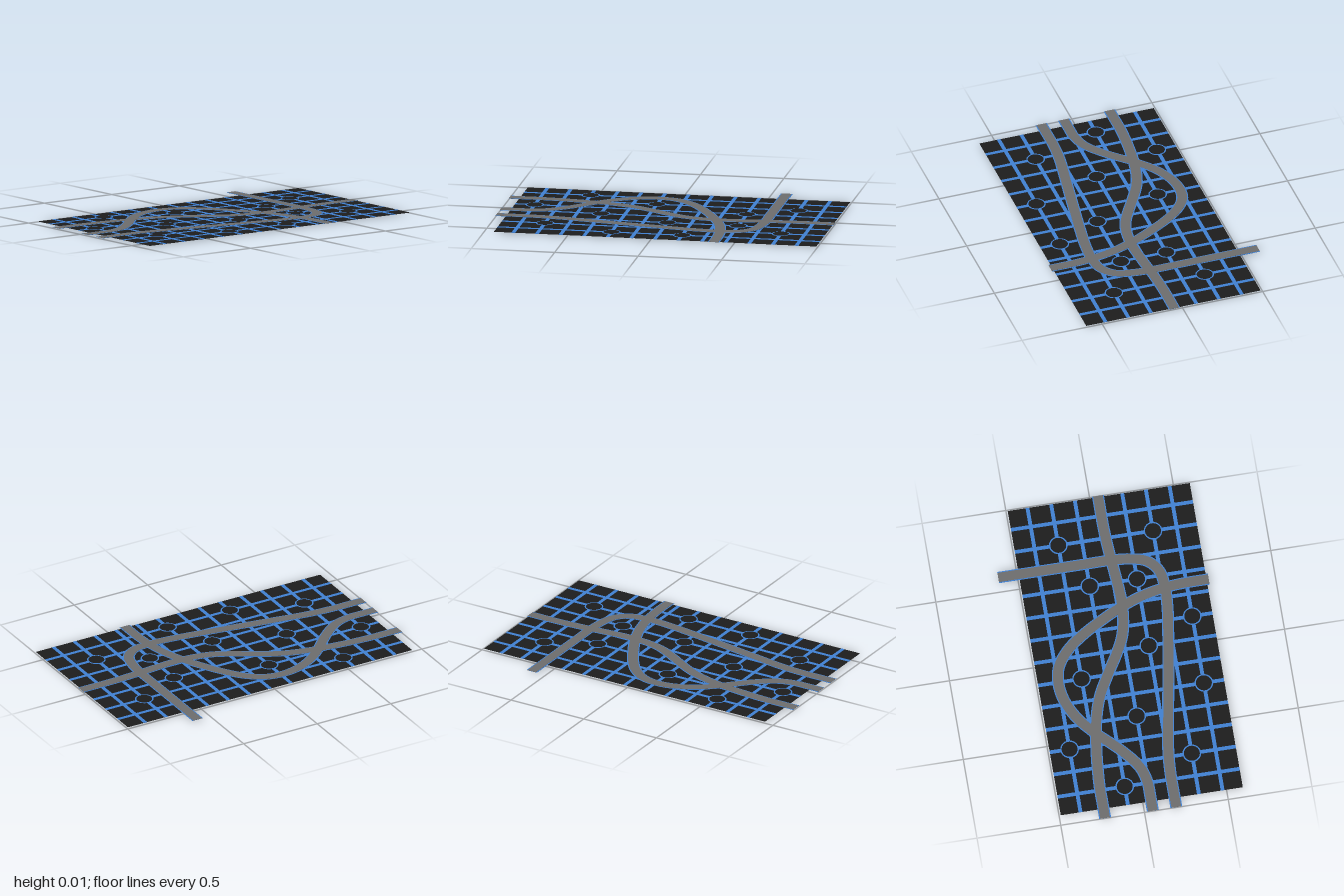
import * as THREE from 'three';
import { mergeGeometries } from 'three/addons/utils/BufferGeometryUtils.js';

const dark = new THREE.MeshStandardMaterial({ color: 0x1c1c1c, side: THREE.DoubleSide });
const blue = new THREE.MeshStandardMaterial({ color: 0x3f7fd0 });
const grey = new THREE.MeshStandardMaterial({ color: 0x6c6c6c });

// Board extents and street spacing
const X0 = -0.94, X1 = 0.993, Z0 = -0.49, Z1 = 0.597;
const STEP = 0.1414;
const gridX = (i) => -0.823 + i * STEP;
const gridZ = (j) => -0.372 + j * STEP;

// Box given by its plan centre, plan size and bottom/top heights
function slab(x, z, w, d, y0, y1) {
  return new THREE.BoxGeometry(w, y1 - y0, d).translate(x, (y0 + y1) / 2, z);
}

// Flat-topped disc between two heights
function disc(x, z, r, y0, y1) {
  return new THREE.CylinderGeometry(r, r, y1 - y0, 32).translate(x, (y0 + y1) / 2, z);
}

// Thin strip of constant width following a plan curve
function strip(points, width, y0, y1) {
  const curve = new THREE.CatmullRomCurve3(points.map(([x, z]) => new THREE.Vector3(x, 0, z)));
  const n = 100, pos = [], idx = [];
  for (let i = 0; i <= n; i++) {
    const p = curve.getPointAt(i / n), t = curve.getTangentAt(i / n);
    const ox = -t.z * width / 2, oz = t.x * width / 2;
    // cross-section corners: right top, left top, left bottom, right bottom
    pos.push(p.x + ox, y1, p.z + oz, p.x - ox, y1, p.z - oz,
      p.x - ox, y0, p.z - oz, p.x + ox, y0, p.z + oz);
    if (i === n) break;
    for (let k = 0; k < 4; k++) {
      const a = i * 4 + k, b = i * 4 + (k + 1) % 4;
      idx.push(a, a + 4, b, b, a + 4, b + 4);
    }
  }
  const e = n * 4;
  idx.push(0, 1, 2, 0, 2, 3, e, e + 2, e + 1, e, e + 3, e + 2);
  const g = new THREE.BufferGeometry();
  g.setAttribute('position', new THREE.Float32BufferAttribute(pos, 3));
  g.setIndex(idx);
  const flat = g.toNonIndexed();
  flat.computeVertexNormals();
  return flat;
}

export function createModel() {
  const model = new THREE.Group();
  const add = (name, geometry, material, parent = model) => {
    const mesh = new THREE.Mesh(geometry, material);
    mesh.name = name;
    parent.add(mesh);
  };

  // Ground sheet
  const cx = (X0 + X1) / 2, cz = (Z0 + Z1) / 2;
  add('ground', new THREE.PlaneGeometry(X1 - X0, Z1 - Z0)
    .rotateX(-Math.PI / 2).translate(cx, 0.005, cz), dark);

  // Street grid, showing on both faces of the ground
  const streets = [];
  for (let i = 0; i < 13; i++) streets.push(slab(gridX(i), cz, 0.023, Z1 - Z0, 0.004, 0.006));
  for (let j = 0; j < 7; j++) streets.push(slab(cx, gridZ(j), X1 - X0, 0.023, 0.004, 0.006));
  add('streetGrid', mergeGeometries(streets), blue);

  // Round junctions: dark disc with a blue rim, as [column, row]
  const junctions = [[2, 0], [5, 1], [11, 1], [0, 2], [9, 2], [3, 3],
    [6, 4], [9, 4], [1, 5], [11, 5], [4, 6], [7, 6]];
  const at = (r, y0, y1) => mergeGeometries(
    junctions.map(([i, j]) => disc(gridX(i), gridZ(j), r, y0, y1)));
  add('junctionRims', at(0.055, 0.0052, 0.0063), blue);
  add('junctionDiscs', at(0.047, 0, 0.0068), dark);

  // Winding highways: grey deck on a slightly wider blue border
  const highways = {
    crossHighway: [[-1, -0.235], [-0.9, -0.235], [-0.8, -0.235], [-0.6, -0.22], [-0.4, -0.19],
      [-0.25, -0.145], [-0.1, -0.065], [0, -0.005], [0.1, 0.045], [0.2, 0.07], [0.33, 0.08],
      [0.5, 0.07], [0.65, 0.057], [0.8, 0.05], [1, 0.05]],
    loopHighway: [[-1, 0.05], [-0.9, 0.05], [-0.82, 0.048], [-0.72, 0.02], [-0.6, -0.07],
      [-0.45, -0.22], [-0.35, -0.3], [-0.23, -0.355], [-0.12, -0.37], [-0.02, -0.35],
      [0.07, -0.285], [0.14, -0.2], [0.21, -0.085], [0.28, 0.05], [0.335, 0.19],
      [0.365, 0.32], [0.377, 0.42], [0.38, 0.5], [0.38, 0.61]],
    bendHighway: [[-1, 0.19], [-0.9, 0.19], [-0.8, 0.19], [-0.65, 0.2], [-0.4, 0.24],
      [-0.15, 0.282], [0.1, 0.322], [0.25, 0.342], [0.38, 0.347], [0.48, 0.33], [0.55, 0.27],
      [0.58, 0.17], [0.59, 0.05], [0.59, -0.1], [0.59, -0.35], [0.59, -0.613]],
  };
  for (const [name, path] of Object.entries(highways)) {
    const highway = new THREE.Group();
    highway.name = name;
    add('border', strip(path, 0.071, 0.0062, 0.0072), blue, highway);
    add('deck', strip(path, 0.058, 0.0064, 0.0082), grey, highway);
    model.add(highway);
  }
  return model;
}
